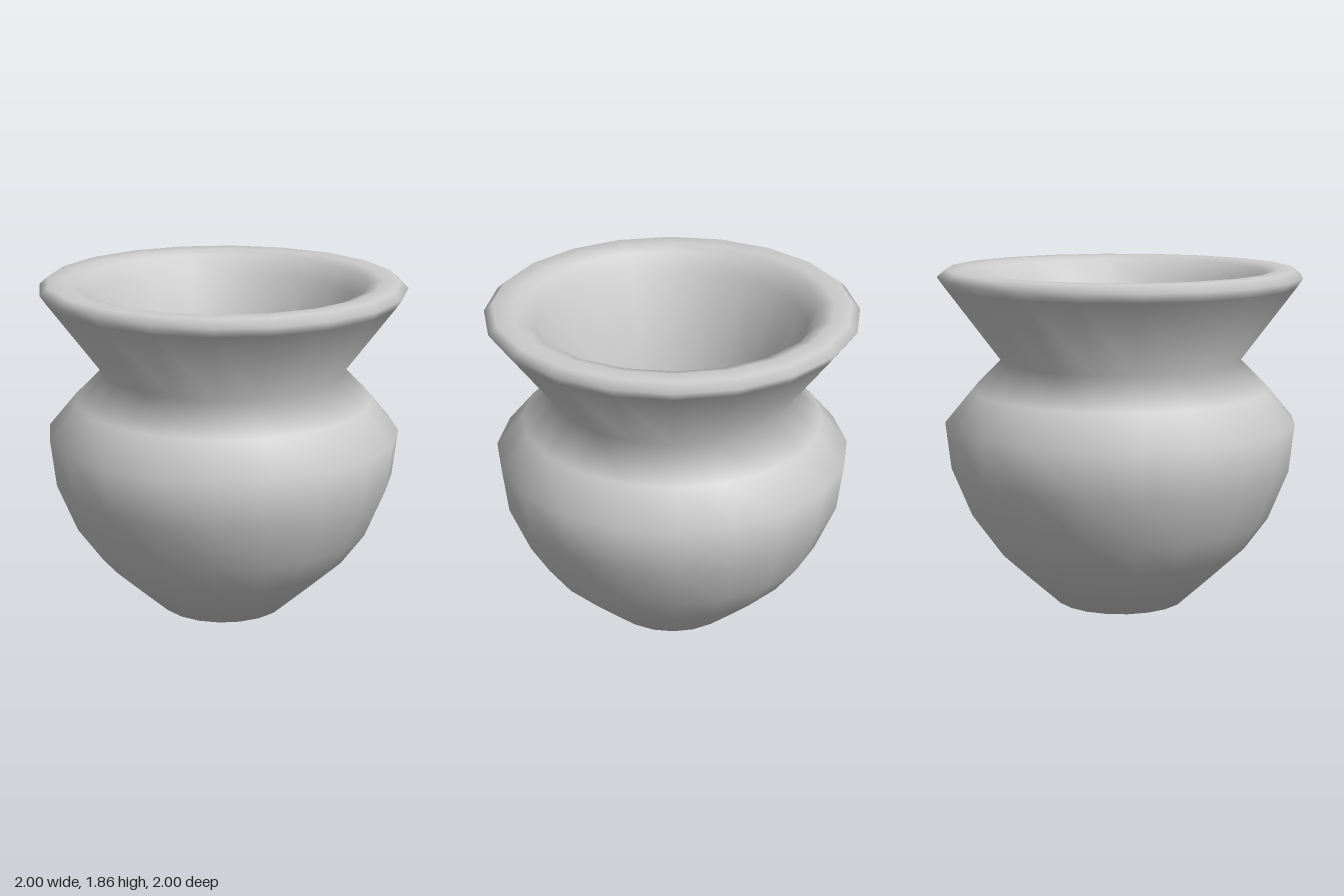
import * as THREE from 'three';

const SIDES = 20;

// Outside of the pot, from the base centre up to the rim [radius, height]
const outside = [
  [0, 0], [0.365, 0], [0.54, 0.16], [0.7, 0.31], [0.83, 0.49], [0.94, 0.76],
  [0.97, 1.02], [0.82, 1.2], [0.66, 1.36], [0.965, 1.77],
];
// Rounded lip, from the outer edge over to the inner edge
const lip = [[1, 1.82], [0.955, 1.86], [0.86, 1.86], [0.79, 1.84]];
// Hollow, from the throat down to the floor centre
const inside = [[0.73, 1.74], [0.55, 1.36], [0.5, 0.9], [0.42, 0.24], [0.36, 0.19], [0, 0.19]];

export function createModel() {
  const model = new THREE.Group();
  model.name = 'pot';

  // One continuous smooth shell with a thick wall
  const profile = [...outside, ...lip, ...inside].map(([r, y]) => new THREE.Vector2(r, y));
  const shell = new THREE.Mesh(
    new THREE.LatheGeometry(profile, SIDES),
    new THREE.MeshStandardMaterial({ color: 0xcccccc })
  );
  shell.name = 'potShell';
  model.add(shell);
  return model;
}
